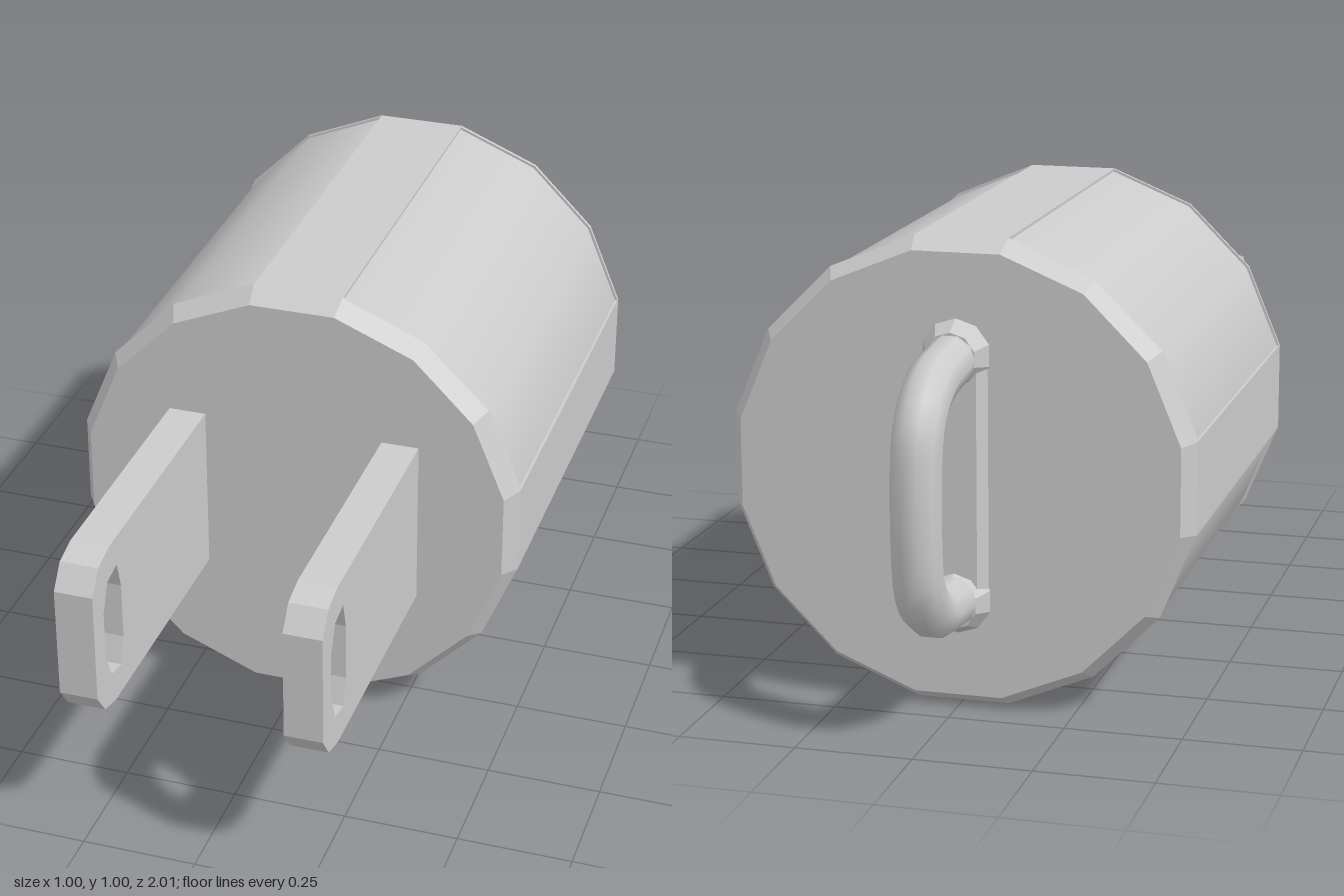
import * as THREE from 'three';

const smooth = new THREE.MeshStandardMaterial({ color: 0xcccccc });
const flat = new THREE.MeshStandardMaterial({ color: 0xcccccc, flatShading: true });
const SIDES = 16, HALF = Math.PI / SIDES;
const R = 0.51, R_PANEL = 0.504, R_FACE = 0.484;
const FRONT = 0.34, BACK = -0.675, BEVEL = 0.042;

const v2 = (list) => list.map(([x, y]) => new THREE.Vector2(x, y));

function add(group, name, geometry, material) {
  const mesh = new THREE.Mesh(geometry, material);
  mesh.name = name;
  group.add(mesh);
  return mesh;
}

// Bevelled end ring with a step down to the recessed panels; profile runs back to front
function endCap(profile) {
  return new THREE.LatheGeometry(v2(profile), SIDES, HALF).rotateX(Math.PI / 2);
}

// Flat blade with clipped corners and a slot, drawn in (z, y) and extruded along x
function prongGeometry() {
  const shape = new THREE.Shape(v2([
    [0.3, 0.313], [0.904, 0.313], [0.963, 0.328], [1, 0.378],
    [1, 0.625], [0.963, 0.675], [0.904, 0.69], [0.3, 0.69],
  ]));
  shape.holes.push(new THREE.Path(v2([
    [0.92, 0.615], [0.868, 0.625], [0.85, 0.563], [0.85, 0.437],
    [0.868, 0.378], [0.92, 0.388], [0.947, 0.45], [0.947, 0.555],
  ])));
  const depth = 0.083;
  return new THREE.ExtrudeGeometry(shape, { depth, bevelEnabled: false })
    .rotateY(-Math.PI / 2).translate(depth / 2, 0, 0);
}

export function createModel() {
  const model = new THREE.Group();
  model.name = 'plug';

  // Body, built around its own axis
  const body = new THREE.Group();
  body.name = 'body';
  body.position.y = 0.5;
  model.add(body);

  const z0 = BACK + BEVEL, z1 = FRONT - BEVEL, lip = 0.008;
  add(body, 'backCap', endCap([
    [0, BACK], [R_FACE, BACK], [R, z0], [R, z0 + lip], [R_PANEL - 0.01, z0 + lip],
  ]), flat);
  add(body, 'frontCap', endCap([
    [R_PANEL - 0.01, z1 - lip], [R, z1 - lip], [R, z1], [R_FACE, FRONT], [0, FRONT],
  ]), flat);
  add(body, 'sidePanels',
    new THREE.CylinderGeometry(R_PANEL, R_PANEL, z1 - z0, SIDES, 1, true, HALF)
      .rotateX(Math.PI / 2).translate(0, 0, (z0 + z1) / 2), smooth);

  // Four flat strips between the panels
  const outer = R * Math.cos(HALF), width = 2 * R * Math.sin(HALF);
  for (let i = 0; i < 4; i++) {
    const strip = new THREE.BoxGeometry(width, 0.02, z1 - z0)
      .translate(0, outer - 0.01, (z0 + z1) / 2).rotateZ(i * Math.PI / 2);
    add(body, 'strip', strip, flat);
  }

  // Pair of prongs
  const prong = prongGeometry();
  for (const side of [-1, 1]) {
    add(model, side > 0 ? 'leftProng' : 'rightProng', prong, flat).position.x = side * 0.2425;
  }

  // Handle at the back
  const handle = new THREE.Group();
  handle.name = 'handle';
  handle.position.y = 0.5;
  model.add(handle);

  const upper = [[0.265, -0.66], [0.255, -0.74], [0.24, -0.845], [0.205, -0.905], [0.145, -0.945]];
  const lower = upper.map(([y, z]) => [-y, z]).reverse();
  const path = new THREE.CatmullRomCurve3(
    [...upper, ...lower].map(([y, z]) => new THREE.Vector3(0, y, z)), false, 'centripetal');
  add(handle, 'grip', new THREE.TubeGeometry(path, 28, 0.054, 10), smooth);

  // Flared feet
  for (const side of [-1, 1]) {
    const foot = new THREE.CylinderGeometry(0.054, 0.076, 0.045, 10)
      .rotateX(-Math.PI / 2).translate(0, side * 0.263, BACK - 0.02);
    add(handle, 'handleFoot', foot, flat);
  }

  // Low plate with sloped sides between the feet
  const section = new THREE.Shape(v2([[-0.068, 0], [0.068, 0], [0.05, 0.025], [-0.05, 0.025]]));
  const plate = new THREE.ExtrudeGeometry(section, { depth: 0.5, bevelEnabled: false })
    .translate(0, 0, -0.25).rotateX(-Math.PI / 2).translate(0, 0, BACK);
  add(handle, 'handlePlate', plate, flat);

  return model;
}
